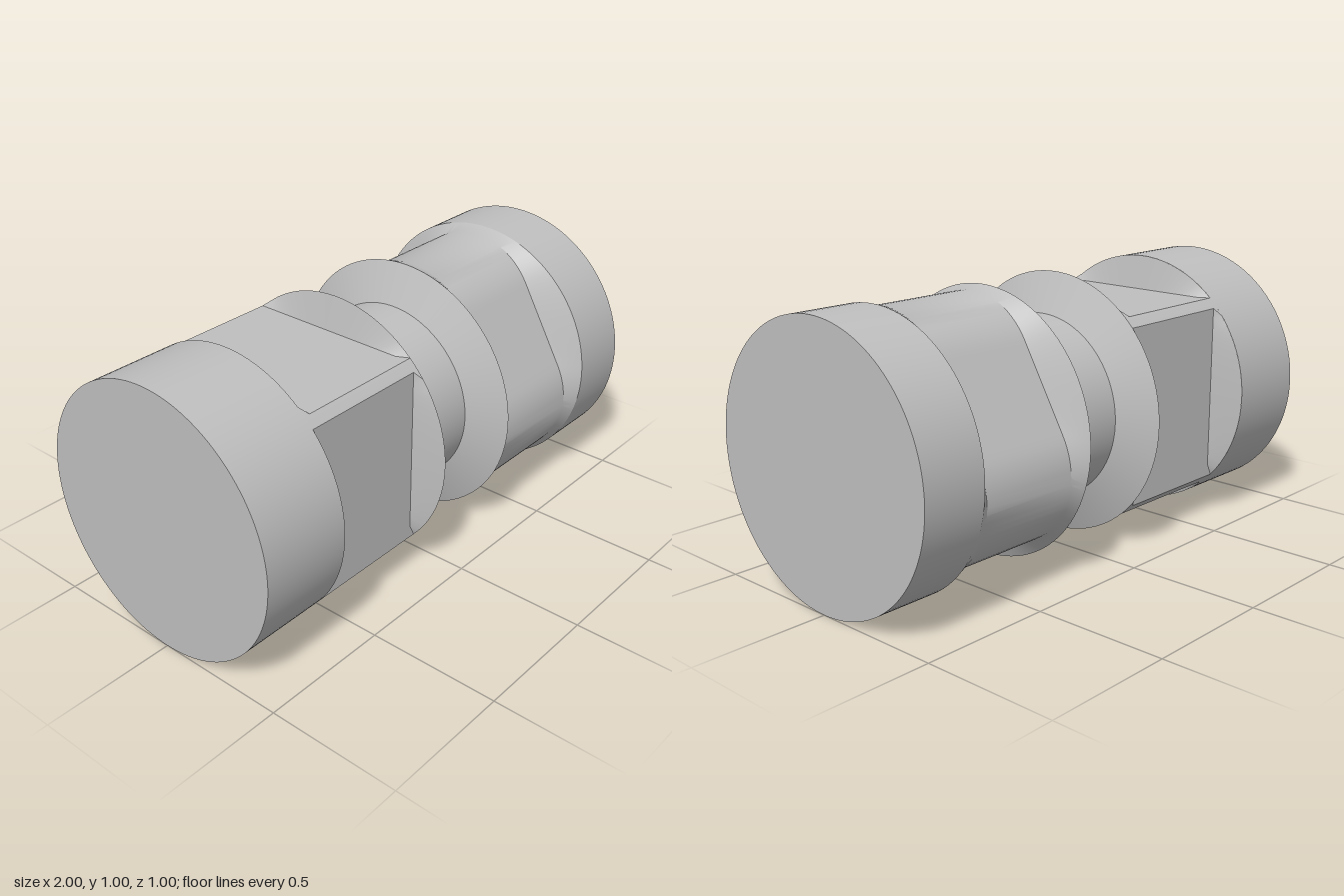
import * as THREE from 'three';
import { toCreasedNormals } from 'three/addons/utils/BufferGeometryUtils.js';

const R = 0.5;
const rad = THREE.MathUtils.degToRad;

// Evenly spaced angles, measured from +z towards +y
const roundAngles = Array.from({ length: 121 }, (_, i) => (i / 120) * Math.PI * 2);

// Angles that hit the exact corners of the four wrench flats
const FLAT = 0.37;
const flatHalf = Math.acos(FLAT / R);
const squareAngles = [];
for (let q = 0; q < 4; q++) {
  for (let i = 0; i <= 20; i++) squareAngles.push(q * Math.PI / 2 - flatHalf + (i / 20) * 2 * flatHalf);
  squareAngles.push(q * Math.PI / 2 + Math.PI / 4);
}
squareAngles.push(2 * Math.PI - flatHalf);

// Cross-sections as radius by angle
const circle = (r) => () => r;
const square = (a) => {
  const q = a - Math.round(a / (Math.PI / 2)) * (Math.PI / 2);
  return Math.min(R, FLAT / Math.cos(q));
};
const triangle = (a) => {
  // Rounded triangle: one flat faces down, one corner points up
  const d = 0.2, rho = 0.285, step = rad(120);
  let q = a + Math.PI / 2;
  q = Math.abs(q - Math.round(q / step) * step);
  if (Math.tan(q) < d * Math.sin(rad(60)) / (rho + d / 2)) return (rho + d / 2) / Math.cos(q);
  const b = rad(60) - q;
  return d * Math.cos(b) + Math.sqrt(rho * rho - (d * Math.sin(b)) ** 2);
};

// Skin a list of [x, section] stations along the x axis
function loft(stations, angles) {
  const pos = [], index = [], n = angles.length;
  for (const [x, section] of stations) {
    for (const a of angles) {
      const r = section(a);
      pos.push(x, R + r * Math.sin(a), r * Math.cos(a));
    }
  }
  for (let i = 0; i < stations.length - 1; i++) {
    for (let j = 0; j < n - 1; j++) {
      const a = i * n + j, b = a + n;
      index.push(a, b, a + 1, b, b + 1, a + 1);
    }
  }
  const geo = new THREE.BufferGeometry();
  geo.setAttribute('position', new THREE.Float32BufferAttribute(pos, 3));
  geo.setIndex(index);
  return toCreasedNormals(geo, 0.5);
}

export function createModel() {
  const group = new THREE.Group();
  group.name = 'turnedConnector';
  const metal = new THREE.MeshStandardMaterial({ color: 0xbfbfbf });
  metal.name = 'grey metal';

  const add = (name, stations, angles = roundAngles) => {
    const mesh = new THREE.Mesh(loft(stations, angles), metal);
    mesh.name = name;
    group.add(mesh);
  };
  const full = circle(R), point = circle(0), neck = circle(0.35);

  // Solid ends
  add('rightEnd', [[-1, point], [-1, full], [-0.65, full]]);
  add('leftEnd', [[0.75, full], [1, full], [1, point]]);

  // Four flats with slightly sloped end walls
  add('squareSection', [[-0.65, full], [-0.627, square], [-0.15, square], [-0.127, full]], squareAngles);

  // Narrow neck between two bevelled flanges
  add('neck', [[-0.127, full], [-0.065, neck], [0.19, neck], [0.25, full]]);

  // Rounded triangular section blending into the round flange and end
  add('triangularSection', [[0.25, full], [0.3, triangle], [0.7, triangle], [0.75, full]]);

  return group;
}
